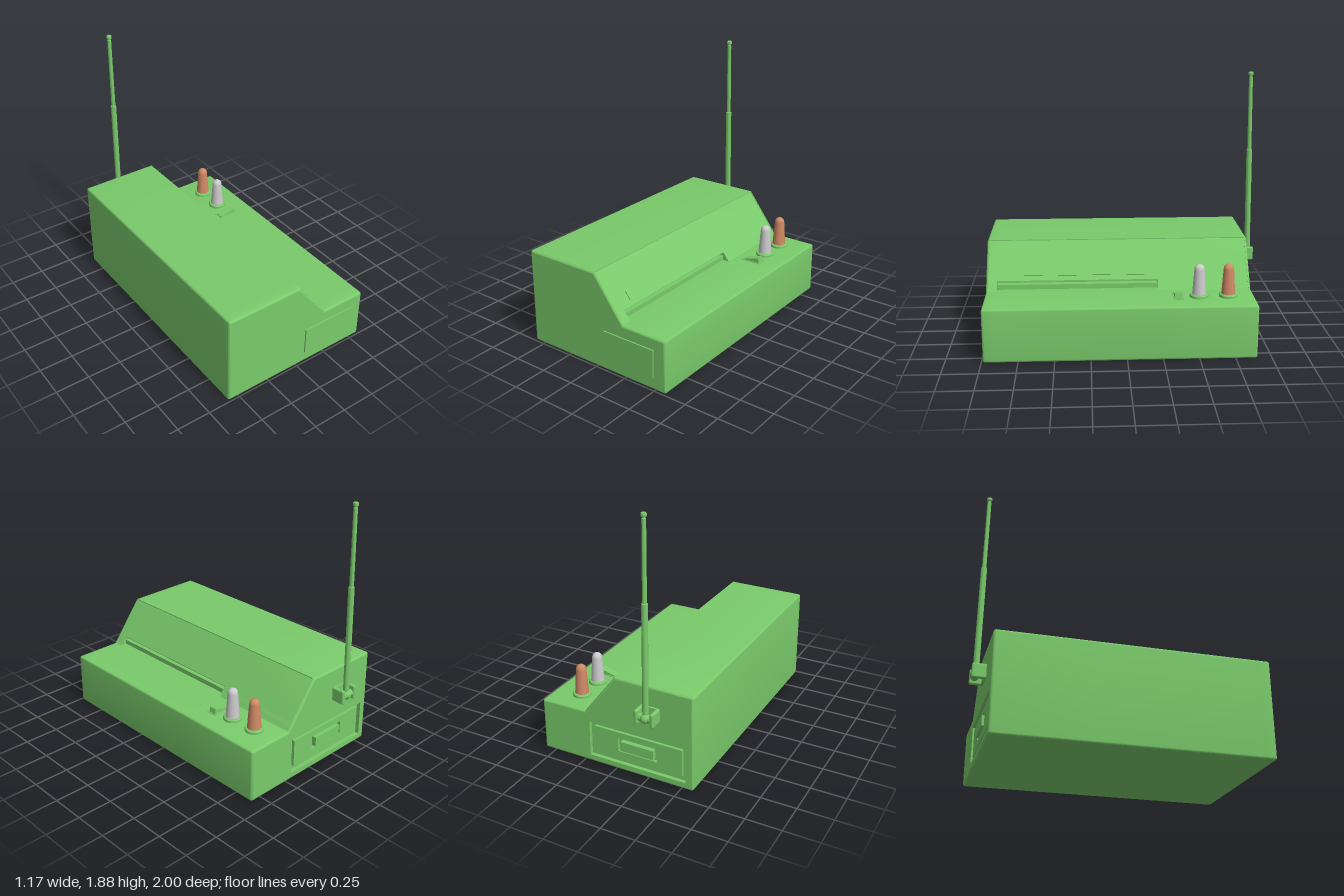
import * as THREE from 'three';
import { toCreasedNormals } from 'three/addons/utils/BufferGeometryUtils.js';
import { RoundedBoxGeometry } from 'three/addons/geometries/RoundedBoxGeometry.js';

const BEVEL = 0.016, FRONT = 0.99, BACK = -0.9, DECK = 0.385;
const green = new THREE.MeshStandardMaterial({ color: 0x7acb6b });
const orange = new THREE.MeshStandardMaterial({ color: 0xd08a66 });
const grey = new THREE.MeshStandardMaterial({ color: 0xcccccc });

function add(parent, name, geometry, material, x = 0, y = 0, z = 0) {
  const mesh = new THREE.Mesh(geometry, material);
  mesh.name = name;
  mesh.position.set(x, y, z);
  parent.add(mesh);
  return mesh;
}

const box = (w, h, d) => new THREE.BoxGeometry(w, h, d);
const V = (x, y) => new THREE.Vector2(x, y);

// Rounded corner between two neighbours
function fillet(prev, p, next, r) {
  const a = p.clone().add(prev.clone().sub(p).setLength(r));
  const b = p.clone().add(next.clone().sub(p).setLength(r));
  return new THREE.QuadraticBezierCurve(a, p, b).getPoints(4);
}

// Case cross-section: inset for the end bevels, step for the sunken slope, slot for the paper slot
function section(inset, step = 0, slot = false) {
  const w = 0.585 - inset, r = Math.max(BEVEL - inset, 0.0015);
  const shift = -0.495 * inset;
  const bl = V(-w, inset), br = V(w, inset), deck = V(w, DECK - inset);
  const foot = V(0.24 + shift - step * 0.762, DECK - inset);
  const lip = V(shift, 0.7 - inset), top = V(shift, 0.7 - inset - step);
  const tl = V(-w, 0.7 - inset);
  const slotTop = foot.clone().lerp(top, 0.21);
  const slotPath = [V(slotTop.x, foot.y), V(slotTop.x, 0.42), V(0.14, 0.42), V(0.14, 0.445), V(slotTop.x, 0.445), slotTop];
  const slope = slotPath.map((p, i) => slot ? p : foot.clone().lerp(slotTop, (i + 1) / 6));
  return [
    ...fillet(tl, bl, br, r), ...fillet(bl, br, deck, r), ...fillet(br, deck, foot, r),
    foot, ...slope, top, lip, ...fillet(lip, tl, bl, r),
  ];
}

// Skin a list of [z, section] rings running from front to back
function loft(rings) {
  const pos = [];
  const tri = (a, b, c) => {
    const area = new THREE.Triangle(a, b, c).getArea();
    if (area > 1e-9) for (const p of [a, b, c]) pos.push(p.x, p.y, p.z);
  };
  const pts = rings.map(([z, s]) => s.map(p => new THREE.Vector3(p.x, p.y, z)));
  for (let k = 0; k + 1 < pts.length; k++) {
    const A = pts[k], B = pts[k + 1];
    for (let j = 0; j < A.length; j++) {
      const n = (j + 1) % A.length;
      tri(A[j], B[j], A[n]);
      tri(A[n], B[j], B[n]);
    }
  }
  const g = new THREE.BufferGeometry();
  g.setAttribute('position', new THREE.Float32BufferAttribute(pos, 3));
  return toCreasedNormals(g, 0.6);
}

function rectPath(x0, x1, y0, y1) {
  return new THREE.Path([V(x0, y0), V(x0, y1), V(x1, y1), V(x1, y0)]);
}

function makeCase(root) {
  const group = new THREE.Group();
  group.name = 'case';
  root.add(group);
  const rings = [], step = 0.006;
  const bevel = [0, 1, 2, 3, 4].map(i => i / 4 * Math.PI / 2);
  for (const t of bevel) {
    rings.push([FRONT - BEVEL * (1 - Math.cos(t)), section(BEVEL * (1 - Math.sin(t)))]);
  }
  rings.push([FRONT - BEVEL, section(0, step)]);
  for (const [z, slots] of [[0.912, [false, true]], [-0.232, [true, false]]]) {
    for (const s of slots) rings.push([z, section(0, step, s)]);
  }
  rings.push([BACK + BEVEL, section(0, step)]);
  for (const t of bevel.slice().reverse()) {
    rings.push([BACK + BEVEL * (1 - Math.cos(t)), section(BEVEL * (1 - Math.sin(t)))]);
  }
  add(group, 'shell', loft(rings), green);

  // End faces, the back one with an opening for the battery door
  const outline = section(BEVEL);
  add(group, 'frontFace', new THREE.ShapeGeometry(new THREE.Shape(outline)), green, 0, 0, FRONT);
  const back = new THREE.Shape(outline);
  back.holes.push(rectPath(-0.53, 0.205, 0.05, 0.31));
  add(group, 'backFace', new THREE.ExtrudeGeometry(back, { depth: 0.03, bevelEnabled: false }), green, 0, 0, BACK);
  add(group, 'doorRecess', box(0.76, 0.28, 0.01), green, -0.1625, 0.18, BACK + 0.033);

  // Battery door with a sunken grip and raised handle
  const door = new THREE.Shape([V(-0.5, 0.085), V(0.17, 0.085), V(0.17, 0.285), V(-0.5, 0.285)]);
  door.holes.push(rectPath(-0.315, -0.015, 0.14, 0.24));
  add(group, 'batteryDoor', new THREE.ExtrudeGeometry(door, { depth: 0.025, bevelEnabled: false }), green, 0, 0, BACK + 0.008);
  add(group, 'doorHandle', box(0.25, 0.07, 0.04), green, -0.165, 0.19, BACK + 0.015);

  // Front plate and the thin strip on the slope
  add(group, 'frontPlate', box(0.42, 0.205, 0.02), green, 0.28, 0.193, FRONT);
  const strip = add(group, 'slopeStrip', box(0.008, 0.068, 1.015), green, 0.145, 0.507, 0.318);
  strip.rotation.z = Math.atan2(0.24, 0.315);
}

// Tapered knob on a collar
function makeKnob(root, name, material, z) {
  const knob = new THREE.Group();
  knob.name = name;
  knob.position.set(0.38, DECK, z);
  root.add(knob);
  const collar = [V(0.065, 0), V(0.065, 0.014), V(0.059, 0.022), V(0, 0.022)];
  add(knob, 'collar', toCreasedNormals(new THREE.LatheGeometry(collar, 32), 0.5), green);
  const dome = [0, 1, 2, 3, 4, 5].map(i => {
    const t = i / 5 * Math.PI / 2;
    return V(0.036 * Math.cos(t), 0.2 + 0.036 * Math.sin(t));
  });
  add(knob, 'cap', new THREE.LatheGeometry([V(0.049, 0.02), V(0.045, 0.07), ...dome], 32), material);
}

function makeSwitch(root) {
  const frame = new THREE.Shape([V(0.288, 0.328), V(0.445, 0.328), V(0.445, 0.402), V(0.288, 0.402)]);
  frame.holes.push(rectPath(0.297, 0.437, 0.336, 0.394));
  const rim = add(root, 'switchFrame', new THREE.ExtrudeGeometry(frame, { depth: 0.004, bevelEnabled: false }), green, 0, DECK, 0);
  rim.rotation.x = -Math.PI / 2;
  const wedge = new THREE.Shape([V(0.3, DECK - 0.01), V(0.436, DECK - 0.01), V(0.428, 0.424), V(0.3, DECK + 0.006)]);
  add(root, 'switchRocker', new THREE.ExtrudeGeometry(wedge, { depth: 0.056, bevelEnabled: false }), green, 0, 0, -0.393);
}

function makeAntenna(root) {
  // Hinge bracket
  const bracket = new THREE.Group();
  bracket.name = 'antennaBracket';
  bracket.position.set(-0.272, 0.508, -0.945);
  root.add(bracket);
  for (const s of [-1, 1]) {
    add(bracket, 'cheek', new RoundedBoxGeometry(0.028, 0.104, 0.1, 3, 0.012), green, s * 0.059, 0, 0);
  }
  add(bracket, 'bracketPlate', box(0.12, 0.1, 0.02), green, 0, 0, 0.04);
  const pin = add(bracket, 'hingePin', new THREE.CylinderGeometry(0.026, 0.026, 0.11, 20), green, 0, -0.005, -0.018);
  pin.rotation.z = Math.PI / 2;
  add(bracket, 'hingeBall', new THREE.SphereGeometry(0.035, 20, 14), green, 0, -0.005, -0.02);

  // Telescopic mast, leaning slightly towards the case
  const mast = new THREE.Group();
  mast.name = 'antennaMast';
  mast.position.set(-0.272, 0.5, -0.961);
  mast.rotation.x = 0.012;
  root.add(mast);
  const profile = [V(0.021, 0), V(0.021, 0.8), V(0.0155, 0.803), V(0.0145, 1.34), V(0.009, 1.345), V(0.009, 1.352),
    V(0.018, 1.354), V(0.02, 1.362), V(0.018, 1.375), V(0.01, 1.38), V(0, 1.38)];
  add(mast, 'rod', toCreasedNormals(new THREE.LatheGeometry(profile, 20), 0.6), green);
}

export function createModel() {
  const root = new THREE.Group();
  root.name = 'tabletopDevice';
  makeCase(root);
  makeKnob(root, 'greyKnob', grey, -0.51);
  makeKnob(root, 'orangeKnob', orange, -0.715);
  makeSwitch(root);
  makeAntenna(root);
  return root;
}
